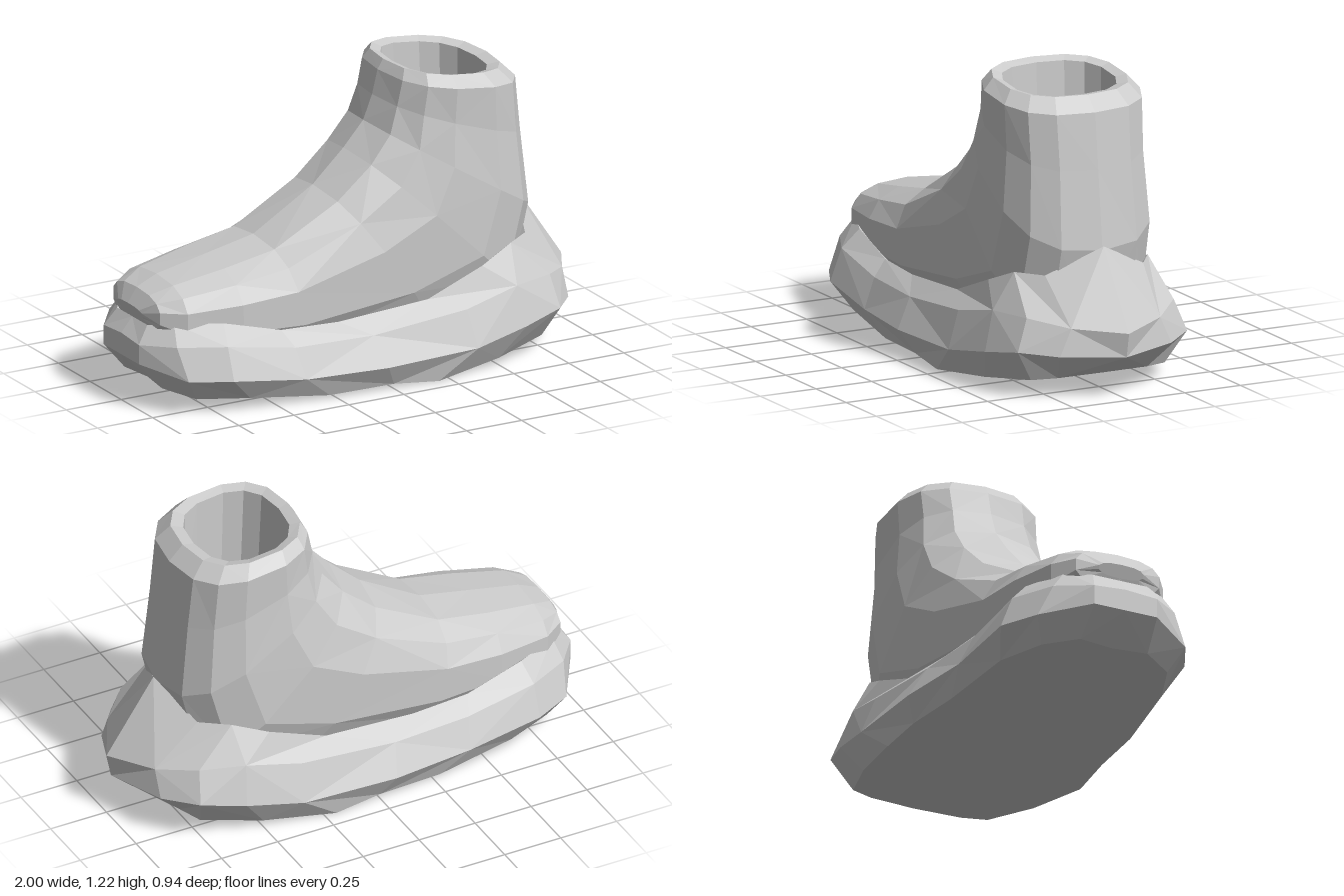
import * as THREE from 'three';

// Skin a stack of closed rings (arrays of [x, y, z]) and cap both ends.
function loft(name, rings) {
  const pos = [];
  const n = rings[0].length;
  const tri = (...pts) => pts.forEach((p) => pos.push(...p));
  for (let i = 0; i < rings.length - 1; i++) {
    for (let j = 0; j < n; j++) {
      const k = (j + 1) % n;
      const a = rings[i][j], b = rings[i][k], c = rings[i + 1][k], d = rings[i + 1][j];
      // alternate the diagonal for irregular facets
      if ((i + j) % 2) { tri(a, b, c); tri(a, c, d); }
      else { tri(a, b, d); tri(b, c, d); }
    }
  }
  const cap = (ring, flip) => {
    const m = [0, 1, 2].map((q) => ring.reduce((s, p) => s + p[q], 0) / n);
    ring.forEach((p, j) => {
      const next = ring[(j + 1) % n];
      if (flip) tri(m, next, p); else tri(m, p, next);
    });
  };
  cap(rings[0], true);
  cap(rings[rings.length - 1], false);
  const geo = new THREE.BufferGeometry();
  geo.setAttribute('position', new THREE.Float32BufferAttribute(pos, 3));
  geo.computeVertexNormals();
  const mat = new THREE.MeshStandardMaterial({ color: 0xcccccc, flatShading: true, side: THREE.DoubleSide });
  const mesh = new THREE.Mesh(geo, mat);
  mesh.name = name;
  return mesh;
}

// Complete a toe-to-heel half outline by mirroring it across z = 0.
const mirrorZ = (half) => [...half, ...half.slice(1, -1).reverse().map(([x, y, z]) => [x, y, -z])];

function createSole() {
  const bottom = [[-0.88, 0.075, 0], [-0.9, 0.075, 0.15], [-0.82, 0.055, 0.28], [-0.62, 0.05, 0.36],
    [-0.28, 0.015, 0.4], [0, 0.02, 0.42], [0.2, 0, 0.43], [0.5, 0.03, 0.38],
    [0.74, 0.06, 0.3], [0.78, 0.065, 0.2], [0.8, 0.07, 0]];
  const lowerEdge = [[-1, 0.19, 0], [-1, 0.19, 0.14], [-0.88, 0.15, 0.33], [-0.72, 0.15, 0.41],
    [-0.4, 0.11, 0.43], [-0.05, 0.11, 0.47], [0.36, 0.12, 0.465], [0.6, 0.16, 0.43],
    [0.78, 0.19, 0.38], [0.89, 0.18, 0.25], [0.98, 0.17, 0]];
  const upperEdge = [[-1, 0.28, 0], [-1, 0.27, 0.14], [-0.9, 0.28, 0.27], [-0.72, 0.28, 0.36],
    [-0.42, 0.23, 0.375], [-0.08, 0.23, 0.4], [0.34, 0.27, 0.41], [0.58, 0.32, 0.385],
    [0.76, 0.32, 0.33], [0.89, 0.29, 0.2], [1, 0.27, 0]];
  const seam = [[-0.95, 0.34, 0], [-0.95, 0.34, 0.12], [-0.88, 0.36, 0.21], [-0.7, 0.355, 0.29],
    [-0.45, 0.29, 0.31], [-0.2, 0.285, 0.325], [0.2, 0.315, 0.34], [0.45, 0.41, 0.335],
    [0.6, 0.47, 0.3], [0.71, 0.47, 0.22], [0.79, 0.58, 0]];
  // top edge folds in under the upper
  const tucked = seam.map(([x, y, z]) => [x * 0.85, Math.min(y, 0.42) - 0.1, z * 0.7]);
  return loft('sole', [bottom, lowerEdge, upperEdge, seam, tucked].map(mirrorZ));
}

function createUpper() {
  // front x, y | back x, y | half width: sections swing from the toe up to the ankle
  const sections = [
    [-0.97, 0.40, -0.95, 0.35, 0.10],
    [-0.93, 0.46, -0.93, 0.30, 0.19],
    [-0.84, 0.50, -0.84, 0.22, 0.255],
    [-0.62, 0.545, -0.6, 0.17, 0.30],
    [-0.40, 0.59, -0.3, 0.13, 0.31],
    [-0.13, 0.75, 0.3, 0.13, 0.325],
    [0.01, 0.88, 0.7, 0.22, 0.335],
    [0.10, 0.98, 0.78, 0.56, 0.325],
    [0.14, 1.08, 0.745, 0.88, 0.305],
    [0.165, 1.18, 0.72, 1.11, 0.31],
    // rolled rim
    [0.19, 1.22, 0.66, 1.17, 0.265],
    [0.23, 1.205, 0.61, 1.16, 0.225],
    // lining inside the opening
    [0.25, 0.85, 0.61, 0.85, 0.215],
    [0.22, 0.5, 0.62, 0.45, 0.2],
  ];
  const sides = 14;
  const soft = (v) => Math.sign(v) * Math.abs(v) ** 0.78;
  const rings = sections.map(([fx, fy, bx, by, w]) => Array.from({ length: sides }, (_, j) => {
    const a = (j / sides) * Math.PI * 2;
    const t = (1 - soft(Math.cos(a))) / 2;
    return [fx + (bx - fx) * t, fy + (by - fy) * t, w * soft(Math.sin(a))];
  }));
  return loft('upper', rings);
}

export function createModel() {
  const boot = new THREE.Group();
  boot.name = 'boot';
  boot.add(createSole(), createUpper());
  return boot;
}
